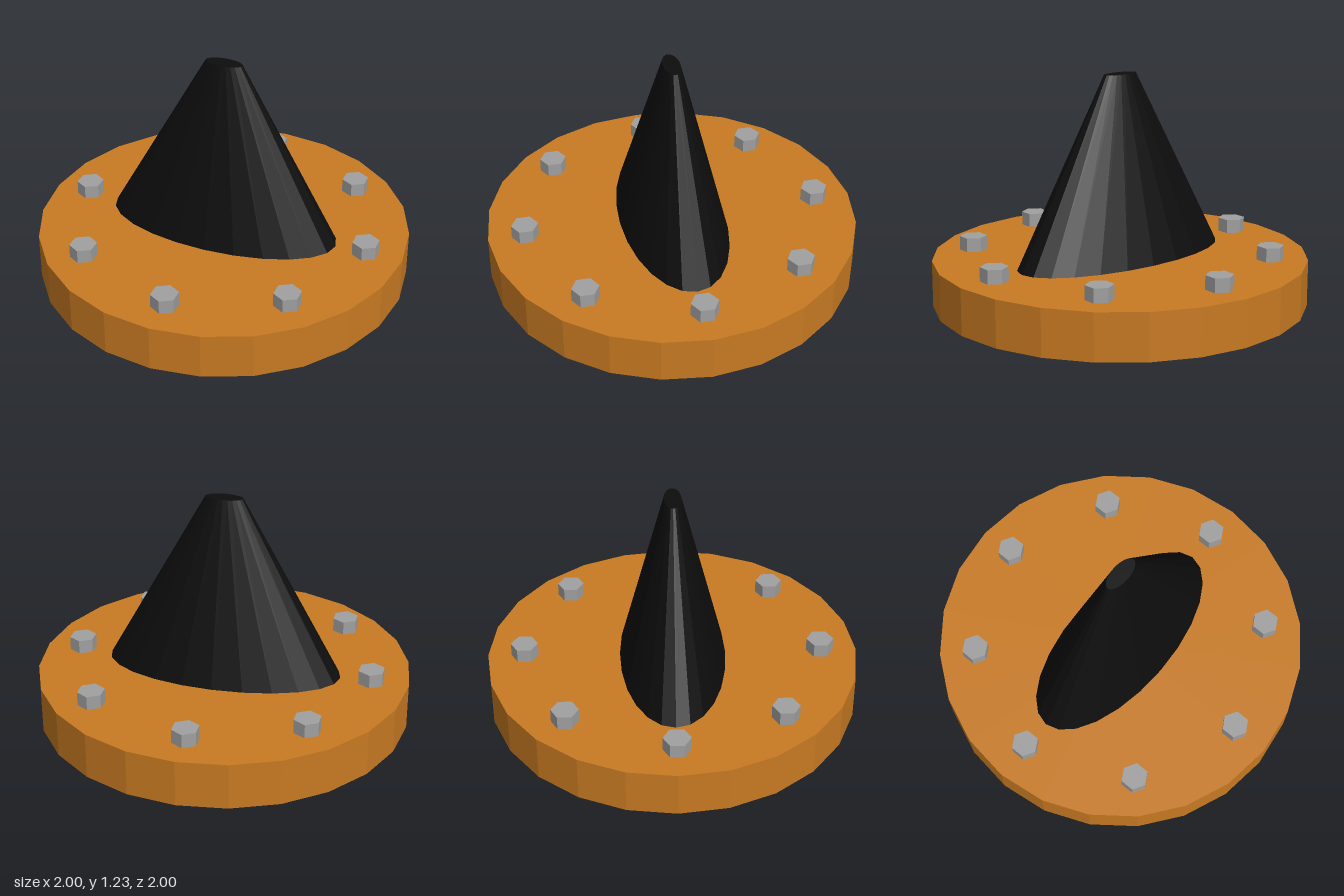
import * as THREE from 'three';

const material = (name, color) => {
  const m = new THREE.MeshStandardMaterial({ color, flatShading: true });
  m.name = name;
  return m;
};

export function createModel() {
  const group = new THREE.Group();
  const orange = material('orange', 0xc87a22);
  const black = material('black', 0x0d0d0d);
  const grey = material('grey', 0xa0a0a0);

  // Upright prism or frustum standing on height y
  const addPart = (name, mat, rTop, rBottom, height, sides, x, y, z) => {
    const geometry = new THREE.CylinderGeometry(rTop, rBottom, height, sides);
    geometry.translate(0, height / 2, 0);
    const mesh = new THREE.Mesh(geometry, mat);
    mesh.name = name;
    mesh.position.set(x, y, z);
    group.add(mesh);
    return mesh;
  };

  // Round base plate
  addPart('basePlate', orange, 1, 1, 0.25, 24, 0, 0, 0);

  // Flattened, truncated cone
  const cone = addPart('cone', black, 0.1, 0.635, 0.975, 24, 0, 0.25, 0);
  cone.scale.z = 0.45;

  // Ring of hexagonal bolts, all facing the same way
  for (let i = 0; i < 8; i++) {
    const a = (i * Math.PI) / 4;
    addPart('bolt' + (i + 1), grey, 0.073, 0.073, 0.075, 6, 0.8 * Math.sin(a), 0.25, 0.8 * Math.cos(a));
  }
  return group;
}
